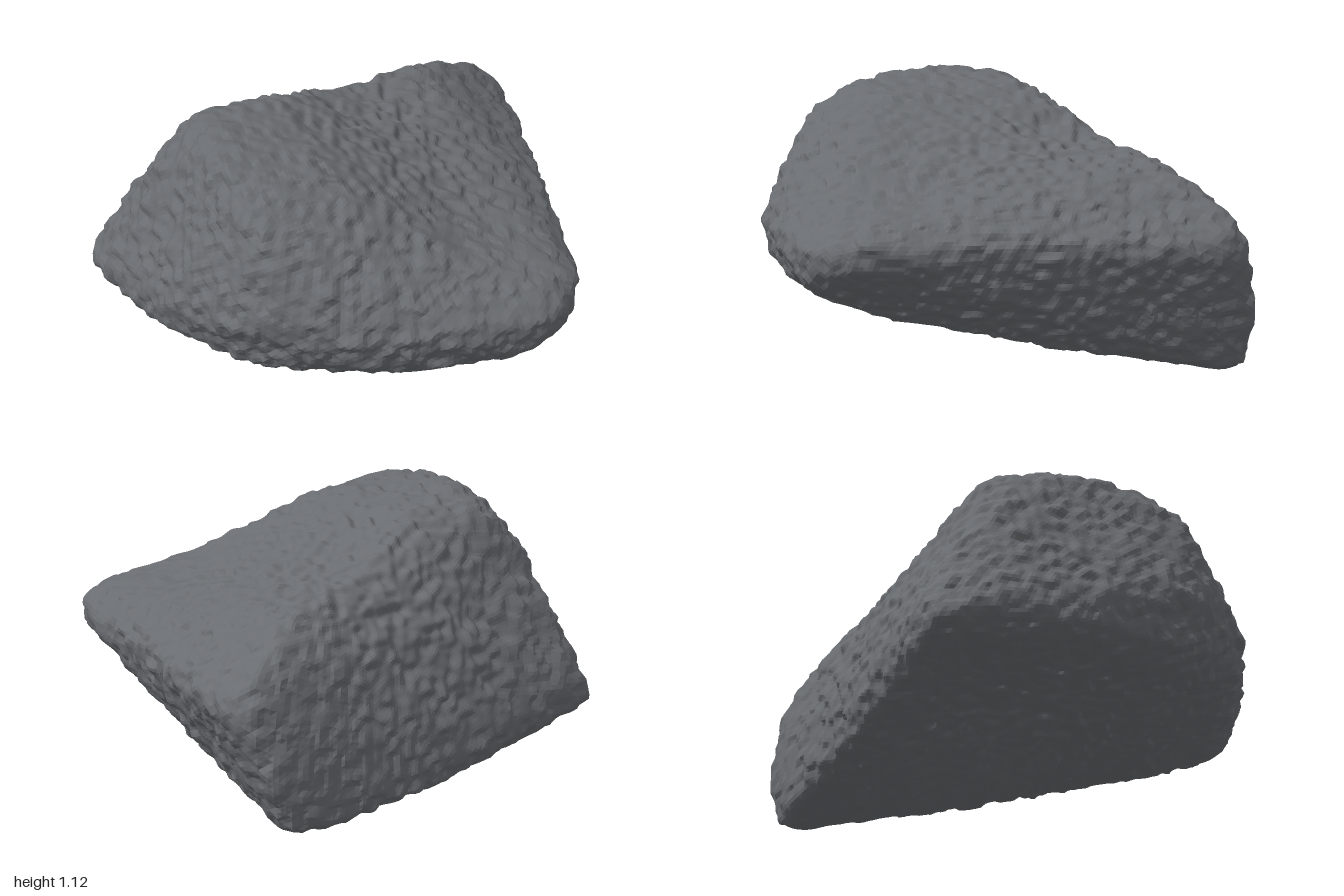
import * as THREE from 'three';
import { ConvexGeometry } from 'three/addons/geometries/ConvexGeometry.js';

// Corners of the boulder, grouped by region
const CORNERS = [
  // left point
  [-1.03, 0.28, 0.02], [-0.98, 0.22, -0.06], [-1.0, 0.34, -0.09], [-0.97, 0.36, 0.2],
  // crown
  [-0.73, 0.95, 0.17], [-0.6, 1.07, 0.08], [-0.3, 1.09, -0.01], [-0.5, 1.115, 0.38],
  [-0.38, 1.08, 0.66], [-0.31, 0.99, 0.81], [0, 1.03, 0.58],
  // crest running to the back tip, and the long face below it
  [0.3, 0.85, -0.65], [0.47, 0.65, -0.96], [0.58, 0.59, -0.96], [-0.35, 0.68, -0.39],
  [0.02, 0.6, -0.61], [0.36, 0.3, -1.01], [0.42, 0.4, -1.02], [0.53, 0.5, -1.01],
  // foot of the back tip
  [0.16, -0.01, -0.9], [0.34, -0.01, -0.92], [0.36, 0.03, -1.0],
  // overhanging right face
  [0.65, 0.55, -0.85], [0.76, 0.4, -0.05], [0.63, 0.25, -0.28],
  [0.5, 0.11, -0.22], [0.65, 0.25, 0.45],
  // front right corner
  [1.02, 0.56, 0.56], [0.97, 0.64, 0.5], [0.97, 0.5, 0.73], [0.92, 0.63, 0.68],
  [0.8, 0.37, 0.76], [0.72, 0.55, 0.87],
  // bulging front and front left
  [0.14, 0.53, 1.02], [0.1, 0.43, 0.98], [-0.1, 0.8, 0.93], [-0.3, 0.6, 0.95],
  [-0.47, 0.55, 0.85], [-0.66, 0.5, 0.64], [-0.75, 0.29, 0.48],
  // underside
  [-0.4, 0.32, 0.78], [-0.25, 0.35, 0.87], [0.4, 0.36, 0.88], [0, 0.22, 0.6], [-0.25, 0.05, -0.52],
];
const CENTRE = new THREE.Vector3(0, 0.5, 0);

// Shallow hollows: centre, radius, depth
const HOLLOWS = [
  [new THREE.Vector3(0.05, 0.93, -0.3), 0.28, 0.055],
  [new THREE.Vector3(0.5, 0.78, 0.45), 0.3, 0.055],
];

// Seeded lattice value noise, -1 to 1
function hash(x, y, z) {
  let h = Math.imul(x, 374761393) ^ Math.imul(y, 668265263) ^ Math.imul(z, 2147483589);
  h = Math.imul(h ^ (h >>> 13), 1274126177);
  h = Math.imul(h ^ (h >>> 15), 2246822519);
  return ((h ^ (h >>> 16)) >>> 0) / 2147483648 - 1;
}
function noise(p, frequency) {
  const c = [p.x, p.y, p.z].map((v) => v * frequency + 100);
  const i = c.map(Math.floor);
  const f = c.map((v, k) => { const t = v - i[k]; return t * t * (3 - 2 * t); });
  let sum = 0;
  for (let k = 0; k < 8; k++) {
    const o = [k & 1, (k >> 1) & 1, k >> 2];
    const w = o.reduce((a, b, j) => a * (b ? f[j] : 1 - f[j]), 1);
    sum += w * hash(i[0] + o[0], i[1] + o[1], i[2] + o[2]);
  }
  return sum;
}

// Facet planes of the convex shape around the corners, each normal divided by its distance
function facetPlanes() {
  const points = CORNERS.map((c) => new THREE.Vector3(...c).sub(CENTRE));
  const position = new ConvexGeometry(points).attributes.position;
  const triangle = new THREE.Triangle();
  const planes = [];
  for (let i = 0; i < position.count; i += 3) {
    triangle.setFromAttributeAndIndices(position, i, i + 1, i + 2);
    const normal = triangle.getNormal(new THREE.Vector3());
    planes.push(normal.divideScalar(normal.dot(triangle.a)));
  }
  return planes;
}

// Distance to the surface along a direction, averaged nearby to wear down the edges
const WEAR = 0.035;
const OFFSETS = [0, 1, 2, 3, 4, 5, 6, 7].map((k) => new THREE.Vector3(
  k & 1 ? WEAR : -WEAR, k & 2 ? WEAR : -WEAR, k & 4 ? WEAR : -WEAR));
const ray = new THREE.Vector3();
function reach(direction, planes) {
  let sum = 0;
  for (const offset of OFFSETS) {
    ray.copy(direction).add(offset).normalize();
    let nearest = 0;
    for (const plane of planes) nearest = Math.max(nearest, plane.dot(ray));
    sum += 1 / nearest;
  }
  return sum / OFFSETS.length;
}

export function createModel() {
  const group = new THREE.Group();
  group.name = 'boulder';
  const stone = new THREE.MeshStandardMaterial({ color: 0x696c70, flatShading: true });
  stone.name = 'dark grey stone';

  const planes = facetPlanes();
  const geometry = new THREE.IcosahedronGeometry(1, 56);
  const position = geometry.attributes.position;
  const d = new THREE.Vector3();
  const p = new THREE.Vector3();

  // Worn facets, hollows, then a rough skin
  for (let i = 0; i < position.count; i++) {
    d.fromBufferAttribute(position, i).normalize();
    p.copy(d).multiplyScalar(reach(d, planes)).add(CENTRE);
    let drop = 0;
    for (const [centre, radius, depth] of HOLLOWS) {
      drop += depth * Math.exp(-p.distanceToSquared(centre) / radius ** 2);
    }
    p.addScaledVector(d, 0.006 * noise(p, 7) + 0.02 * noise(p, 25));
    position.setXYZ(i, p.x, Math.max(0, p.y - drop), p.z);
  }
  geometry.computeVertexNormals();

  const rock = new THREE.Mesh(geometry, stone);
  rock.name = 'rock';
  group.add(rock);
  return group;
}
